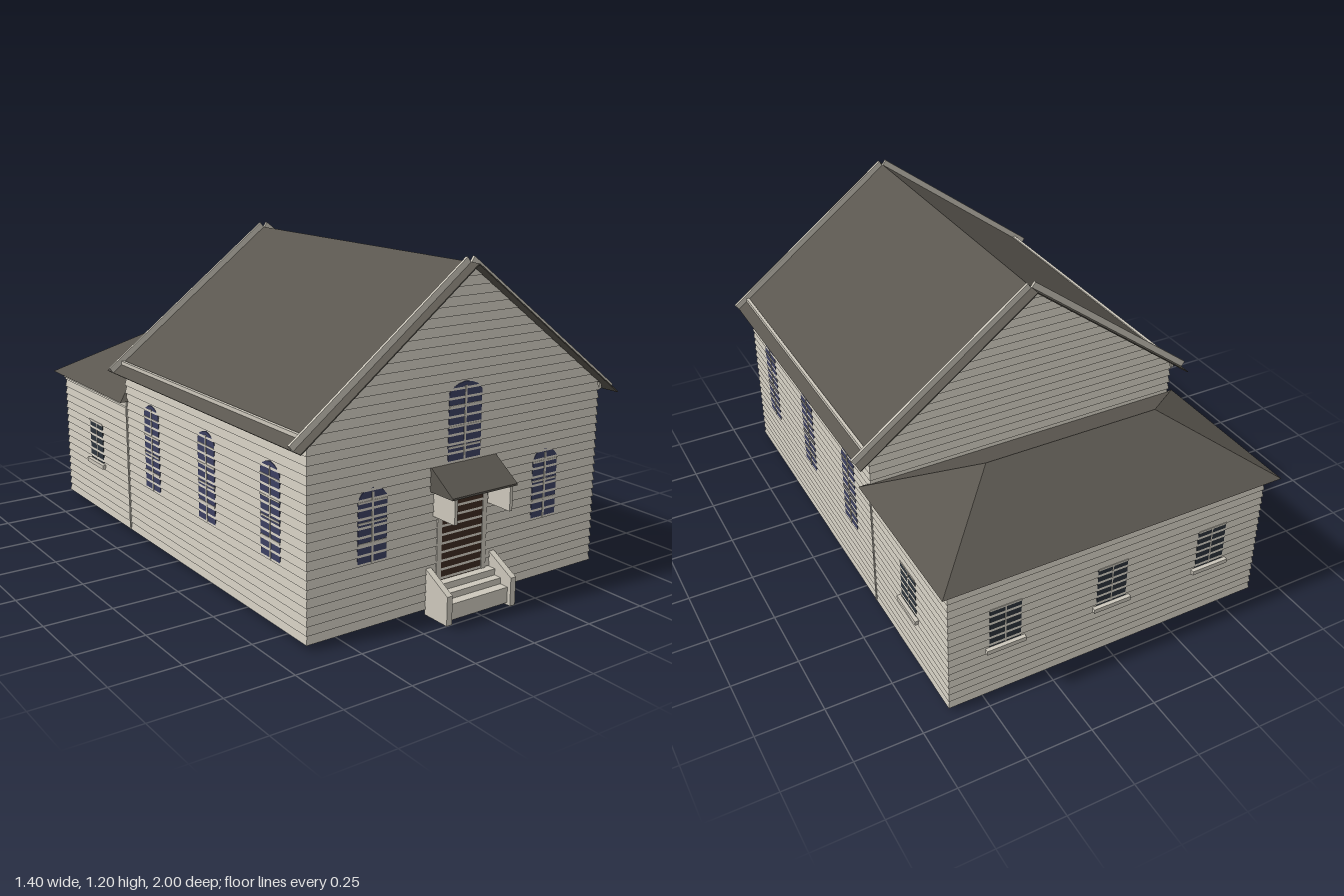
import * as THREE from 'three';

const mat = (name, color, double = false) => {
  const m = new THREE.MeshStandardMaterial({ color });
  m.name = name;
  if (double) m.side = THREE.DoubleSide;
  return m;
};

export function createModel() {
  const root = new THREE.Group();
  root.name = 'chapel';
  const paint = mat('stone paint', 0xcdc8bc, true);
  const slate = mat('roof slate', 0x5a564f, true);
  const blueGlass = mat('blue glass', 0x3c4062);
  const darkGlass = mat('dark glass', 0x2c343c);
  const wood = mat('door wood', 0x3d2a20);

  const add = (parent, name, geo, material, x = 0, y = 0, z = 0) => {
    const m = new THREE.Mesh(geo, material);
    m.name = name;
    m.position.set(x, y, z);
    parent.add(m);
    return m;
  };
  const box = (parent, name, material, w, h, d, x, y, z) =>
    add(parent, name, new THREE.BoxGeometry(w, h, d), material, x, y, z);
  const polygon = pts => new THREE.Shape(pts.map(p => new THREE.Vector2(...p)));
  // Flat-shaded triangles from lists of polygon corners
  const facets = polys => {
    const pos = [];
    for (const p of polys)
      for (let i = 1; i < p.length - 1; i++) pos.push(...p[0], ...p[i], ...p[i + 1]);
    const g = new THREE.BufferGeometry();
    g.setAttribute('position', new THREE.Float32BufferAttribute(pos, 3));
    g.computeVertexNormals();
    return g;
  };

  const BASE = 0.02, PITCH = 0.031, LIP = 0.006;
  const PEAK = 1.18, SLOPE = 0.752;

  // Clapboard wall: local x runs along the wall, local z points outward
  function wall(name, x, z, turn, half, top, gable = false) {
    const g = new THREE.Group();
    g.name = name;
    g.position.set(x, 0, z);
    g.rotation.y = turn;
    root.add(g);
    const width = y => gable ? Math.max(0, Math.min(half, (PEAK - y) / SLOPE)) : half;
    const boards = [];
    for (let y = BASE; y < top - 0.001; y += PITCH) {
      const y2 = Math.min(y + PITCH, top);
      const a = width(y), b = width(y2), c = a + (a === half ? LIP : 0);
      boards.push([[-c, y, LIP], [c, y, LIP], [b, y2, 0], [-b, y2, 0]]);
      boards.push([[-a, y, 0], [a, y, 0], [c, y, LIP], [-c, y, LIP]]);
    }
    add(g, 'clapboards', facets(boards), paint);
    const eave = PEAK - SLOPE * half;
    const outline = gable
      ? [[-half, BASE], [half, BASE], [half, eave], [0, PEAK], [-half, eave]]
      : [[-half, BASE], [half, BASE], [half, top], [-half, top]];
    add(g, 'innerWall', new THREE.ShapeGeometry(polygon(outline)), paint, 0, 0, -0.001);
    return g;
  }

  // Thin pane; the lips of the clapboards cross in front of it
  const pane = (g, name, pts, material, x) =>
    add(g, name, new THREE.ExtrudeGeometry(polygon(pts), { depth: 0.0085, bevelEnabled: false }),
      material, x, 0, -0.004);

  function archedWindow(g, x, y0, top, w = 0.058) {
    const s = top - 0.034;
    pane(g, 'archedWindow', [[-w, y0], [w, y0], [w, s], [w * 0.72, s + 0.02], [w * 0.4, s + 0.029],
      [0, top], [-w * 0.4, s + 0.029], [-w * 0.72, s + 0.02], [-w, s]], blueGlass, x);
    box(g, 'mullion', paint, 0.008, s - y0 + 0.02, 0.003, x, (s + y0) / 2 + 0.01, 0.005);
    for (let y = y0 + 0.07; y < s; y += 0.07)
      box(g, 'glazingBar', paint, w * 2, 0.007, 0.003, x, y, 0.005);
  }

  function smallWindow(g, x) {
    const w = 0.06;
    pane(g, 'smallWindow', [[-w, 0.23], [w, 0.23], [w, 0.39], [-w, 0.39]], darkGlass, x);
    box(g, 'mullion', paint, 0.005, 0.16, 0.002, x, 0.31, 0.0045);
    box(g, 'lintel', paint, 0.12, 0.008, 0.008, x, 0.392, 0.003);
    box(g, 'sill', paint, 0.15, 0.017, 0.017, x, 0.218, 0.0085);
  }

  // Nave walls
  const front = wall('frontWall', 0, 0.885, 0, 0.63, PEAK, true);
  const rear = wall('naveRearWall', 0, -0.36, Math.PI, 0.63, PEAK, true);
  archedWindow(front, -0.38, 0.24, 0.495);
  archedWindow(front, 0.38, 0.24, 0.495);
  archedWindow(front, 0, 0.5, 0.79, 0.071);
  archedWindow(rear, 0, 0.23, 0.5);
  for (const s of [-1, 1]) {
    const side = wall(s > 0 ? 'leftWall' : 'rightWall', s * 0.63, 0.2625, s * Math.PI / 2, 0.6225, 0.7);
    for (const z of [0.68, 0.265, -0.15]) archedWindow(side, -s * (z - 0.2625), 0.24, 0.573);
    const annex = wall(s > 0 ? 'annexLeftWall' : 'annexRightWall', s * 0.63, -0.6575, s * Math.PI / 2, 0.2975, 0.55);
    smallWindow(annex, 0);
    box(annex, 'eaveBoard', paint, 0.607, 0.024, 0.01, 0, 0.537, 0.005);
    box(root, 'junctionTrim', paint, 0.008, 0.53, 0.008, s * 0.634, 0.285, -0.36);
  }
  const annexRear = wall('annexRearWall', 0, -0.955, Math.PI, 0.63, 0.55);
  for (const x of [-0.42, 0, 0.42]) smallWindow(annexRear, x);
  box(annexRear, 'eaveBoard', paint, 1.28, 0.024, 0.01, 0, 0.537, 0.005);

  // Nave roof: thin slopes with raised rake and eave strips
  const run = 0.685, drop = run * SLOPE, len = Math.hypot(run, drop), angle = Math.atan(SLOPE);
  for (const s of [-1, 1]) {
    const slope = new THREE.Group();
    slope.name = s > 0 ? 'leftRoofSlope' : 'rightRoofSlope';
    slope.position.set(s * run / 2, PEAK - drop / 2, 0);
    slope.rotation.z = -s * angle;
    root.add(slope);
    box(slope, 'roofSheet', slate, len, 0.004, 1.345, 0, 0, 0.2625);
    for (const z of [0.89, -0.362]) box(slope, 'rakeStrip', paint, len, 0.024, 0.01, 0, 0.013, z);
    box(root, 'eaveStrip', paint, 0.012, 0.035, 1.25, s * 0.644, 0.69, 0.2625);
  }

  // Annex hip roof
  const E = 0.548, A = [-0.67, E, -0.34], B = [0.67, E, -0.34], C = [0.67, E, -1], D = [-0.67, E, -1];
  const L = [0.34, 0.752, -0.67], R = [-0.34, 0.752, -0.67];
  add(root, 'annexHipRoof', facets([[A, B, L, R], [B, C, L], [C, D, R, L], [D, A, R]]), slate);

  // Door and its surround
  pane(front, 'door', [[-0.09, 0.11], [0.09, 0.11], [0.09, 0.395], [-0.09, 0.395]], wood, 0);
  for (const s of [-1, 1]) box(front, 'doorJamb', paint, 0.02, 0.31, 0.008, s * 0.1, 0.265, 0.003);
  box(front, 'doorHead', paint, 0.22, 0.035, 0.008, 0, 0.413, 0.003);

  // Profile in the z-y plane extruded across x
  const profile = (name, pts, width, x, material) => {
    const g = new THREE.ExtrudeGeometry(polygon(pts.map(([z, y]) => [-z, y])), { depth: width, bevelEnabled: false });
    g.translate(0, 0, -width / 2).rotateY(Math.PI / 2);
    return add(root, name, g, material, x);
  };
  // Door canopy on brackets
  profile('canopyRoof', [[0.885, 0.433], [0.885, 0.52], [1, 0.44], [1, 0.433]], 0.284, 0, slate);
  for (const s of [-1, 1]) {
    profile('canopyBracket', [[0.885, 0.345], [0.885, 0.433], [0.995, 0.433], [0.995, 0.345]], 0.012, s * 0.121, paint);
    profile('stairCheek', [[0.885, 0], [0.885, 0.165], [1, 0.103], [1, 0]], 0.023, s * 0.1415, paint);
  }
  // Entrance steps
  [[0.11, 0.92], [0.087, 0.95], [0.065, 0.985]].forEach(([h, z]) =>
    box(root, 'step', paint, 0.262, h - 0.008, z - 0.885, 0, (h + 0.008) / 2, (z + 0.885) / 2));

  return root;
}
